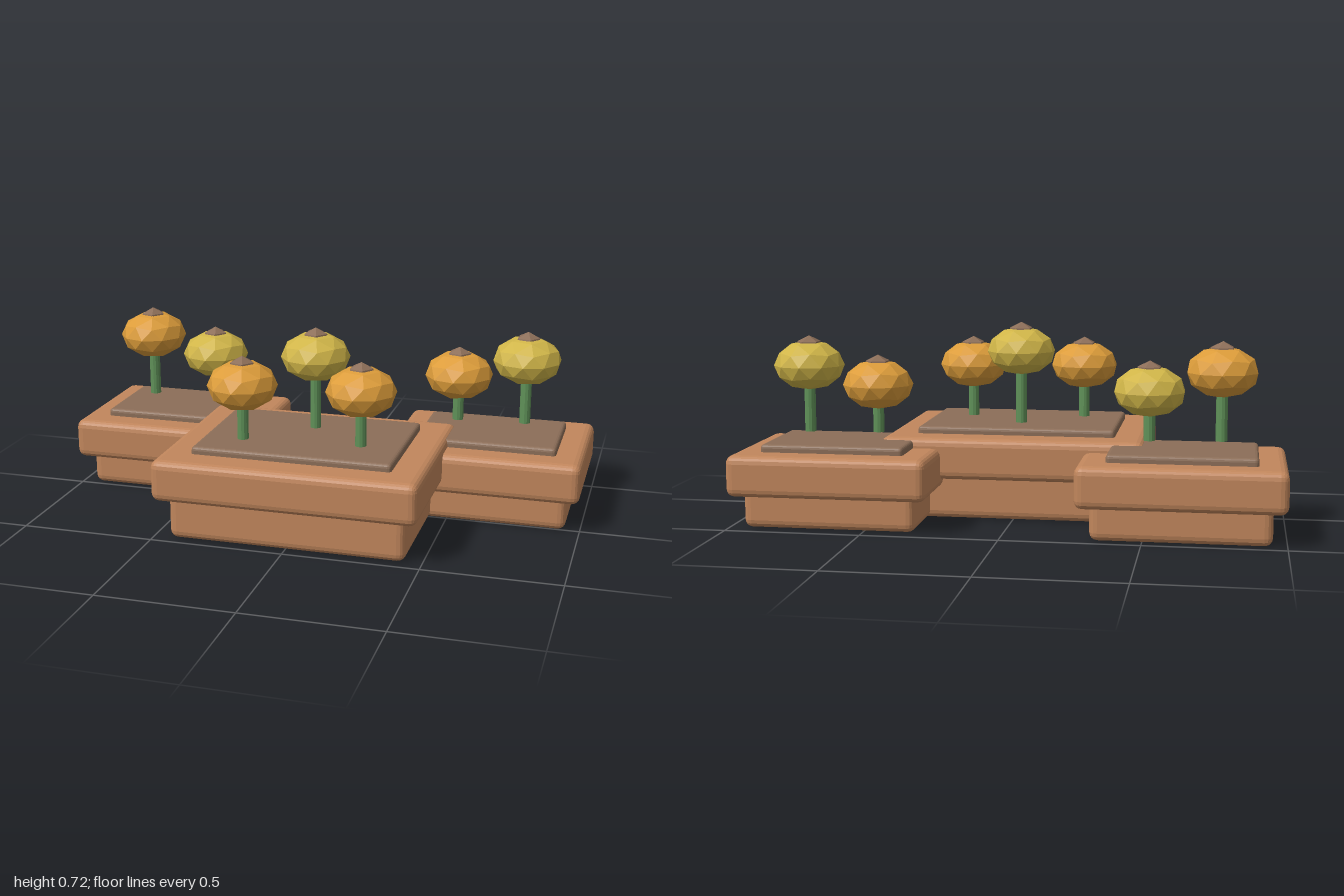
import * as THREE from 'three';
import { RoundedBoxGeometry } from 'three/addons/geometries/RoundedBoxGeometry.js';

const material = (name, color) =>
  new THREE.MeshStandardMaterial({ name, color, flatShading: true });

const clay = material('terracotta', 0xc1865c);
const soilBrown = material('soil brown', 0x8c6e58);
const stemGreen = material('stem green', 0x5f9158);
const orange = material('orange bloom', 0xdc9c3a);
const yellow = material('yellow bloom', 0xd0b548);

function addMesh(parent, name, geometry, mat) {
  const mesh = new THREE.Mesh(geometry, mat);
  mesh.name = name;
  parent.add(mesh);
  return mesh;
}

// Bevelled slab given by its extents on each axis
function addSlab(parent, name, mat, [x0, x1], [y0, y1], [z0, z1], bevel) {
  const geometry = new RoundedBoxGeometry(x1 - x0, y1 - y0, z1 - z0, 2, bevel);
  const slab = addMesh(parent, name, geometry, mat);
  slab.position.set((x0 + x1) / 2, (y0 + y1) / 2, (z0 + z1) / 2);
}

// Flattened icosphere with one vertex pointing straight up
function flatBall(radius, halfHeight, detail) {
  return new THREE.IcosahedronGeometry(1, detail)
    .rotateZ(-Math.atan(2 / (1 + Math.sqrt(5))))
    .scale(radius, halfHeight, radius);
}

// Planter: stepped base, wider rim, and a raised bed of soil
function makePlanter(name, { x, z, rimY, inset, soilTop }) {
  const planter = new THREE.Group();
  planter.name = name;
  const shrink = ([a, b], d) => [a + d, b - d];
  addSlab(planter, 'base', clay, shrink(x, 0.05), [0, rimY[0] + 0.04], shrink(z, 0.05), 0.03);
  addSlab(planter, 'rim', clay, x, rimY, z, 0.03);
  addSlab(planter, 'soil', soilBrown, shrink(x, inset), [soilTop - 0.06, soilTop], shrink(z, inset), 0.014);
  return planter;
}

const bloomGeometry = flatBall(0.13, 0.092, 1);
const capGeometry = flatBall(0.05, 0.04, 0);
const stemBottom = 0.33;

// Flower: thin stem, faceted bloom, small cap
function makeFlower(x, bloomY, z, mat) {
  const flower = new THREE.Group();
  flower.name = 'flower';
  flower.position.set(x, 0, z);
  const height = bloomY - stemBottom;
  const stem = addMesh(flower, 'stem', new THREE.CylinderGeometry(0.021, 0.021, height, 12), stemGreen);
  stem.position.y = stemBottom + height / 2;
  addMesh(flower, 'bloom', bloomGeometry, mat).position.y = bloomY;
  addMesh(flower, 'cap', capGeometry, soilBrown).position.y = bloomY + 0.07;
  return flower;
}

export function createModel() {
  const model = new THREE.Group();
  model.name = 'flowerPlanters';

  model.add(
    makePlanter('centrePlanter', { x: [-0.49, 0.49], z: [-0.23, 0.52], rimY: [0.155, 0.31], inset: 0.118, soilTop: 0.337 }),
    makePlanter('rightPlanter', { x: [-1, -0.265], z: [-0.523, 0.04], rimY: [0.12, 0.272], inset: 0.102, soilTop: 0.3 }),
    makePlanter('leftPlanter', { x: [0.262, 0.997], z: [-0.5, 0.065], rimY: [0.12, 0.272], inset: 0.102, soilTop: 0.3 })
  );

  const flowers = [
    [-0.765, 0.577, -0.24, orange],
    [-0.51, 0.507, -0.268, yellow],
    [-0.22, 0.541, 0.255, orange],
    [0, 0.613, 0.05, yellow],
    [0.218, 0.541, 0.22, orange],
    [0.495, 0.507, -0.218, orange],
    [0.75, 0.577, -0.24, yellow],
  ];
  for (const f of flowers) model.add(makeFlower(...f));

  return model;
}
